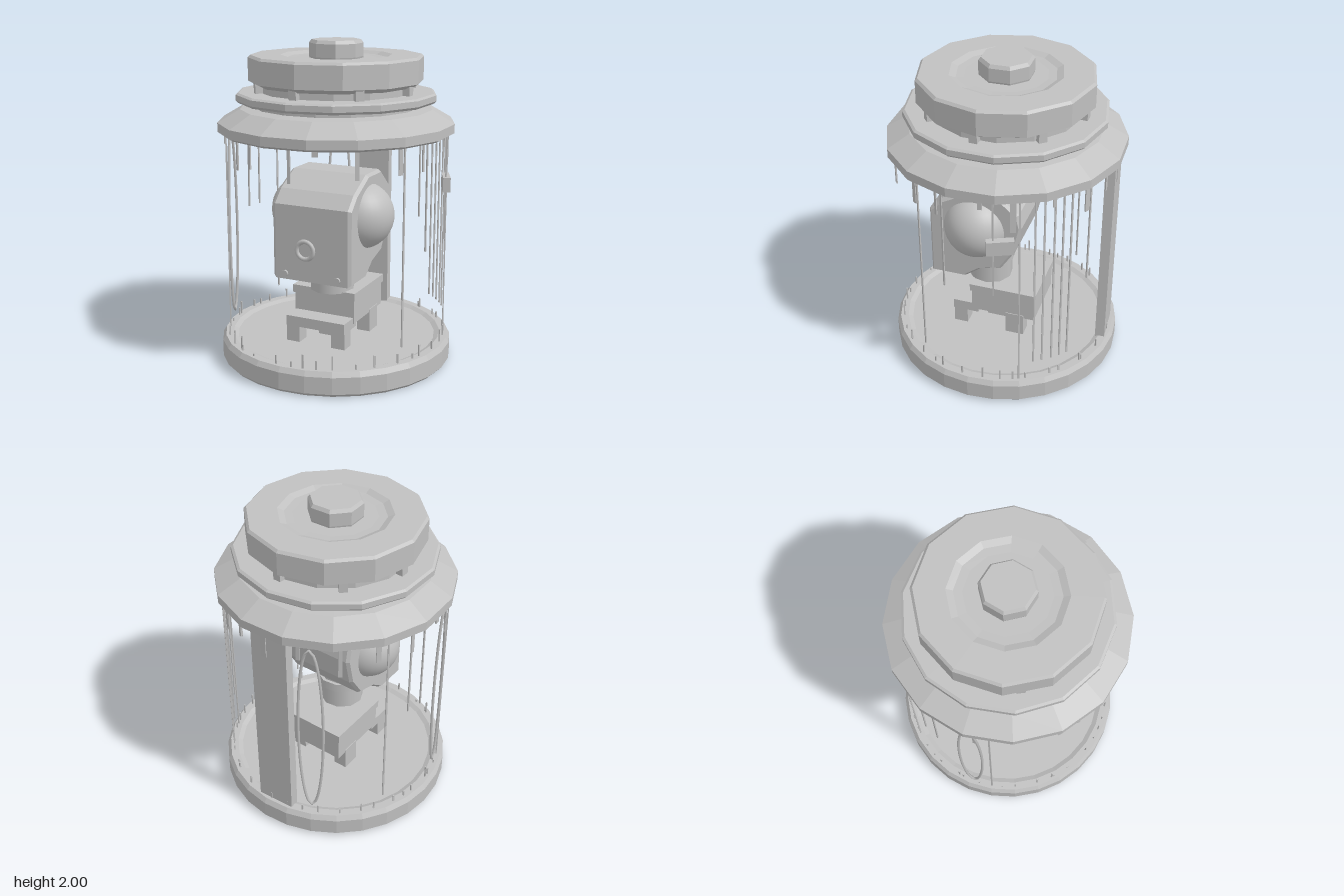
import * as THREE from 'three';

const grey = new THREE.MeshStandardMaterial({ color: 0xc0c0c0 });

export function createModel() {
  const root = new THREE.Group();

  const add = (parent, name, geo, x = 0, y = 0, z = 0, ry = 0) => {
    const m = new THREE.Mesh(geo, grey);
    m.name = name;
    m.position.set(x, y, z);
    m.rotation.y = ry;
    parent.add(m);
    return m;
  };
  const box = (parent, name, w, h, d, x, y, z, ry) =>
    add(parent, name, new THREE.BoxGeometry(w, h, d), x, y, z, ry);
  // Faceted solid of revolution from [radius, height] pairs, bottom to top
  const turned = (name, pts, sides, ry = 0) => {
    const g = new THREE.LatheGeometry(pts.map(p => new THREE.Vector2(...p)), sides).toNonIndexed();
    g.computeVertexNormals();
    return add(root, name, g, 0, 0, 0, ry);
  };
  const wallR = 0.685;

  // Base and stacked cap
  turned('base', [[0, 0], [0.71, 0], [0.73, 0.02], [0.73, 0.125], [0.71, 0.155],
    [0.66, 0.155], [0.63, 0.14], [0, 0.14]], 28);
  turned('capSkirt', [[0, 1.44], [0.70, 1.44], [0.727, 1.455], [0.727, 1.51], [0.59, 1.59],
    [0.51, 1.6], [0.51, 1.64], [0, 1.64]], 16, Math.PI / 16);
  turned('capRing', [[0, 1.63], [0.6, 1.63], [0.615, 1.645], [0.615, 1.68], [0.6, 1.69],
    [0.47, 1.69], [0.47, 1.74], [0, 1.74]], 14);
  turned('lid', [[0, 1.73], [0.49, 1.73], [0.535, 1.755], [0.535, 1.895], [0.52, 1.91],
    [0.34, 1.91], [0.3, 1.893], [0.25, 1.89], [0, 1.89]], 12, 0.1);
  turned('knob', [[0, 1.88], [0.16, 1.88], [0.165, 1.9], [0.165, 1.98], [0.15, 2], [0, 2]], 8);
  for (let i = 0; i < 8; i++) {
    const a = i * Math.PI / 4 + 0.3;
    box(root, 'capLug', 0.05, 0.12, 0.05, 0.48 * Math.sin(a), 1.7, 0.48 * Math.cos(a), a);
  }

  // Rear post
  box(root, 'rearPost', 0.24, 1.32, 0.06, 0.235, 0.79, -0.61, -0.36);

  // Pedestal under the head
  const pedestal = new THREE.Group();
  pedestal.name = 'pedestal';
  pedestal.position.set(0.015, 0, -0.035);
  pedestal.rotation.y = -0.42;
  root.add(pedestal);
  box(pedestal, 'pedestalBlock', 0.41, 0.17, 0.42, 0, 0.355, 0);
  box(pedestal, 'pedestalTop', 0.43, 0.05, 0.44, 0, 0.445, 0);
  box(pedestal, 'bracketBar', 0.4, 0.065, 0.17, 0, 0.275, 0.255);
  for (const s of [-1, 1]) {
    box(pedestal, 'bracketLeg', 0.09, 0.14, 0.09, s * 0.155, 0.205, 0.29);
    box(pedestal, 'sideFoot', 0.09, 0.15, 0.12, s * 0.165, 0.215, -0.08);
  }
  box(pedestal, 'centreFoot', 0.14, 0.15, 0.14, 0, 0.21, 0.08);
  add(root, 'neck', new THREE.CylinderGeometry(0.14, 0.14, 0.24, 10), -0.02, 0.58, 0.1);
  add(root, 'neckCollar', new THREE.CylinderGeometry(0.16, 0.16, 0.06, 10), -0.02, 0.64, 0.1);

  // Head: angular side profile extruded across its width
  const head = new THREE.Group();
  head.name = 'head';
  head.position.set(-0.138, 0, 0.384);
  head.rotation.y = -0.42;
  root.add(head);
  const profile = new THREE.Shape([[0, 0.585], [0.22, 0.585], [0.32, 0.66], [0.46, 0.7], [0.55, 0.84],
    [0.59, 1.02], [0.57, 1.11], [0.44, 1.22], [0.25, 1.22], [0.08, 1.13], [0, 1.05]]
    .map(p => new THREE.Vector2(...p)));
  const shell = new THREE.ExtrudeGeometry(profile, {
    depth: 0.48, bevelEnabled: true, bevelSize: 0.015, bevelThickness: 0.02, bevelOffset: -0.015, bevelSegments: 1 });
  shell.translate(0, 0, -0.24).rotateY(Math.PI / 2);
  add(head, 'headShell', shell);
  for (const s of [-1, 1]) {
    add(head, 'sideDome', new THREE.SphereGeometry(0.207, 32, 20), s * 0.19, 0.96, -0.29);
    const bolt = add(head, 'faceBolt', new THREE.CylinderGeometry(0.02, 0.02, 0.02, 8), s * 0.175, 0.622, 0.003);
    bolt.rotation.x = Math.PI / 2;
  }
  add(head, 'faceRing', new THREE.TorusGeometry(0.055, 0.014, 8, 20), -0.04, 0.78, 0);

  // Small plate on the wall
  box(root, 'wallPlate', 0.045, 0.09, 0.16, 0.672, 1.145, 0.11);

  // Thin wall strands: [angle from front, bottom, top]
  const strand = (name, a, y0, y1, w = 0.01) =>
    box(root, name, w, y1 - y0, 0.008, wallR * Math.sin(a), (y0 + y1) / 2, wallR * Math.cos(a), a);
  [[0.63, 0.25, 1.45], [0.9, 0.8, 1.45], [1.35, 0.8, 1.45], [1.57, 0.15, 1.45], [1.7, 0.28, 1.45],
    [1.78, 0.28, 1.45], [1.87, 0.28, 1.45], [1.95, 0.28, 1.45], [2.03, 0.28, 1.45], [2.23, 0.79, 1.45],
    [3.8, 0.25, 1.45], [4.03, 0.87, 1.45], [4.18, 0.87, 1.45], [4.71, 0.15, 1.45]]
    .forEach(([a, y0, y1]) => strand('wallStrand', a, y0, y1));

  // Short ragged fringe along both rims
  let seed = 7;
  const rand = () => (seed = (seed * 16807) % 2147483647) / 2147483647;
  for (let i = 0; i < 40; i++) {
    const a = (i + rand()) * Math.PI / 20;
    strand('lowerFringe', a, 0.14, 0.17 + 0.08 * rand());
    if (i % 2) strand('upperFringe', a, 1.41 - 0.18 * rand(), 1.45, 0.012 + 0.025 * rand());
  }

  // Slim closed loops lying on the wall
  for (const centre of [-1.76, Math.PI]) {
    const pts = Array.from({ length: 20 }, (_, i) => {
      const t = i * Math.PI / 10, a = centre + 0.11 * Math.cos(t);
      return new THREE.Vector3(wallR * Math.sin(a), 0.82 + 0.6 * Math.sin(t), wallR * Math.cos(a));
    });
    add(root, 'wallLoop', new THREE.TubeGeometry(new THREE.CatmullRomCurve3(pts, true), 60, 0.009, 5, true));
  }
  return root;
}
